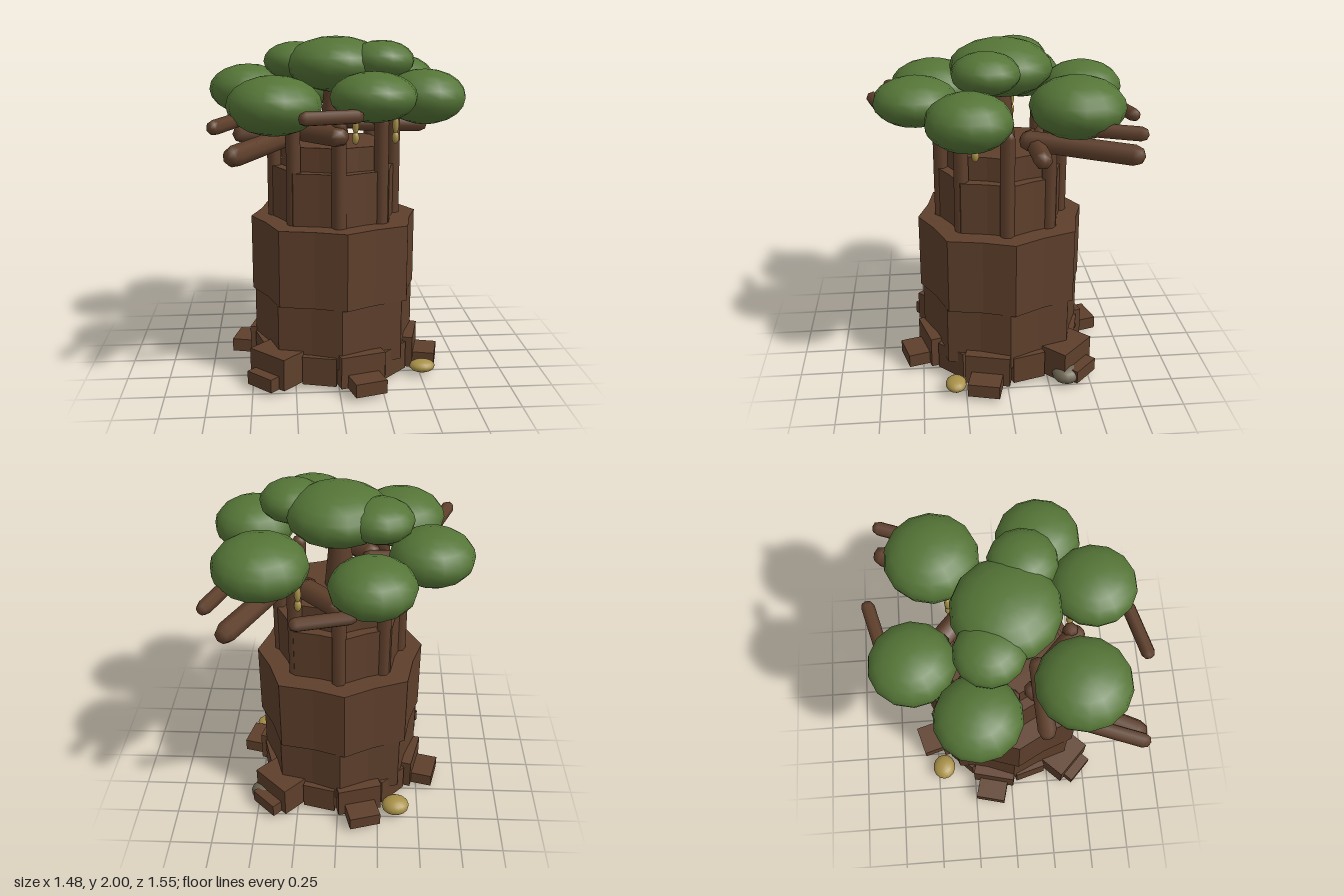
import * as THREE from 'three';

const mat = (name, color) => {
  const m = new THREE.MeshStandardMaterial({ color });
  m.name = name;
  return m;
};
const DEG = Math.PI / 180;

export function createModel() {
  const tree = new THREE.Group();
  tree.name = 'baobabTree';
  const bark = mat('bark', 0x5e3f2b);
  const leaf = mat('leaf', 0x557537);
  const straw = mat('straw', 0xa89048);
  const stone = mat('stone', 0x6e6653);

  const add = (name, geometry, material, x = 0, y = 0, z = 0, parent = tree) => {
    const mesh = new THREE.Mesh(geometry, material);
    mesh.name = name;
    mesh.position.set(x, y, z);
    parent.add(mesh);
    return mesh;
  };
  const ball = new THREE.SphereGeometry(1, 14, 10);
  const ellipsoid = (name, material, [x, y, z], [rx, ry, rz]) =>
    add(name, ball, material, x, y, z).scale.set(rx, ry, rz);

  // Trunk tiers: stacked prisms with an eight-ridged outline
  const tier = (name, y0, y1, scale, turn) => {
    const points = [];
    const corner = (r, a) => points.push(new THREE.Vector2(r * Math.sin(a * DEG), -r * Math.cos(a * DEG)).multiplyScalar(scale));
    for (let i = 0; i < 8; i++) {
      corner(i % 2 ? 0.525 : 0.5, 45 * i + turn);
      corner(0.46, 45 * i + 22.5 + turn);
    }
    const g = new THREE.ExtrudeGeometry(new THREE.Shape(points), { depth: y1 - y0, bevelEnabled: false });
    g.rotateX(-Math.PI / 2);
    add(name, g, bark, 0, y0, 0);
  };
  tier('trunkBase', 0.13, 0.492, 0.97, 2);
  tier('trunkMiddle', 0.492, 0.945, 1, 5);
  tier('trunkUpper', 0.945, 1.25, 0.75, 5);
  tier('trunkCrown', 1.25, 1.39, 0.63, 2);
  add('trunkTop', new THREE.CylinderGeometry(0.06, 0.09, 0.32, 8), bark, 0, 1.53, 0);

  // Six stepped roots around the foot, the two diagonal ones longer
  for (let i = 0; i < 6; i++) {
    const root = new THREE.Group();
    root.name = 'root';
    root.rotation.y = (16 + 60 * i) * DEG;
    const long = i % 3 === 2;
    const shoulderEnd = long ? 0.6 : 0.505, toeEnd = long ? 0.665 : 0.635;
    add('rootShoulder', new THREE.BoxGeometry(0.27, 0.19, shoulderEnd - 0.29), bark, 0, 0.125, (shoulderEnd + 0.29) / 2, root);
    add('rootToe', new THREE.BoxGeometry(0.19, 0.08, toeEnd - 0.31), bark, 0, 0.07, (toeEnd + 0.31) / 2, root);
    tree.add(root);

    // Low buttress filling the gap between two roots
    const gap = new THREE.Group();
    gap.name = 'buttress';
    gap.rotation.y = (46 + 60 * i) * DEG;
    add('buttressBlock', new THREE.BoxGeometry(0.2, 0.17, 0.15), bark, 0, 0.115, 0.405, gap);
    tree.add(gap);
  }

  // Rounded rod between two points, used for all limbs
  const limb = (name, from, to, radius) => {
    const a = new THREE.Vector3(...from), b = new THREE.Vector3(...to);
    const dir = b.clone().sub(a);
    const g = new THREE.CapsuleGeometry(radius, Math.max(dir.length() - 2 * radius, 0.01), 2, 7);
    const mesh = add(name, g, bark);
    mesh.position.copy(a).add(b).multiplyScalar(0.5);
    mesh.quaternion.setFromUnitVectors(new THREE.Vector3(0, 1, 0), dir.normalize());
  };

  // Upright stems around the upper trunk
  for (let i = 0; i < 8; i++) {
    const a = (i * 45 + 1) * DEG;
    const x = 0.355 * Math.sin(a), z = 0.355 * Math.cos(a);
    limb('stem', [x, 0.9, z], [x, 1.57, z], 0.043);
  }

  // Branches, repeated on the opposite side with a half turn
  for (const [s, lift] of [[1, 0], [-1, 0.06]]) {
    limb('longBranch', [-0.27 * s, 1.43 + lift, 0.08 * s], [-0.585 * s, 1.42 + lift, 0.715 * s], 0.058);
    limb('sideBranch', [-0.12 * s, 1.47, 0.16 * s], [-0.59 * s, 1.46, 0.18 * s], 0.052);
    limb('shortBranch', [-0.22 * s, 1.48, 0.18 * s], [0.04 * s, 1.47, 0.42 * s], 0.062);
    limb('outerTwig', [-0.54 * s, 1.57 + lift, 0.36 * s], [-0.67 * s, 1.57 + lift, 0.7 * s], 0.04);
    limb('crossTwig', [0.11 * s, 1.62 - lift / 2, 0.66 * s], [-0.23 * s, 1.62 - lift / 2, 0.75 * s], 0.038);
  }

  // Leaf clumps: x, y, z, radius, half height
  const clumps = [
    [0.01, 1.84, 0, 0.295, 0.16],
    [-0.185, 1.67, -0.505, 0.235, 0.15],
    [0.405, 1.71, -0.375, 0.262, 0.165],
    [-0.505, 1.68, -0.18, 0.235, 0.15],
    [-0.35, 1.645, 0.38, 0.262, 0.163],
    [0.18, 1.7, 0.485, 0.236, 0.135],
    [0.5, 1.67, 0.21, 0.236, 0.155],
    [-0.22, 1.85, -0.1, 0.19, 0.115],
    [0.265, 1.865, 0.105, 0.19, 0.115],
  ];
  for (const [x, y, z, r, h] of clumps) ellipsoid('leafClump', leaf, [x, y, z], [r, h, r]);

  // Hanging pods
  for (const [x, y, z] of [[0.095, 1.46, 0.365], [0.345, 1.43, 0.17], [0.22, 1.43, -0.31], [-0.36, 1.48, -0.1]]) {
    ellipsoid('pod', straw, [x, y, z], [0.021, 0.036, 0.021]);
    ellipsoid('podStalk', straw, [x, y + 0.075, z], [0.019, 0.055, 0.019]);
  }

  // Stones and straw mounds at the foot
  ellipsoid('strawMound', straw, [0.51, 0.065, 0.31], [0.077, 0.037, 0.062]);
  ellipsoid('strawMound', straw, [-0.36, 0.07, -0.46], [0.085, 0.052, 0.075]);
  ellipsoid('stone', stone, [0.46, 0.065, -0.355], [0.09, 0.055, 0.085]);
  ellipsoid('stone', stone, [-0.355, 0.055, 0.415], [0.09, 0.05, 0.08]);
  return tree;
}
